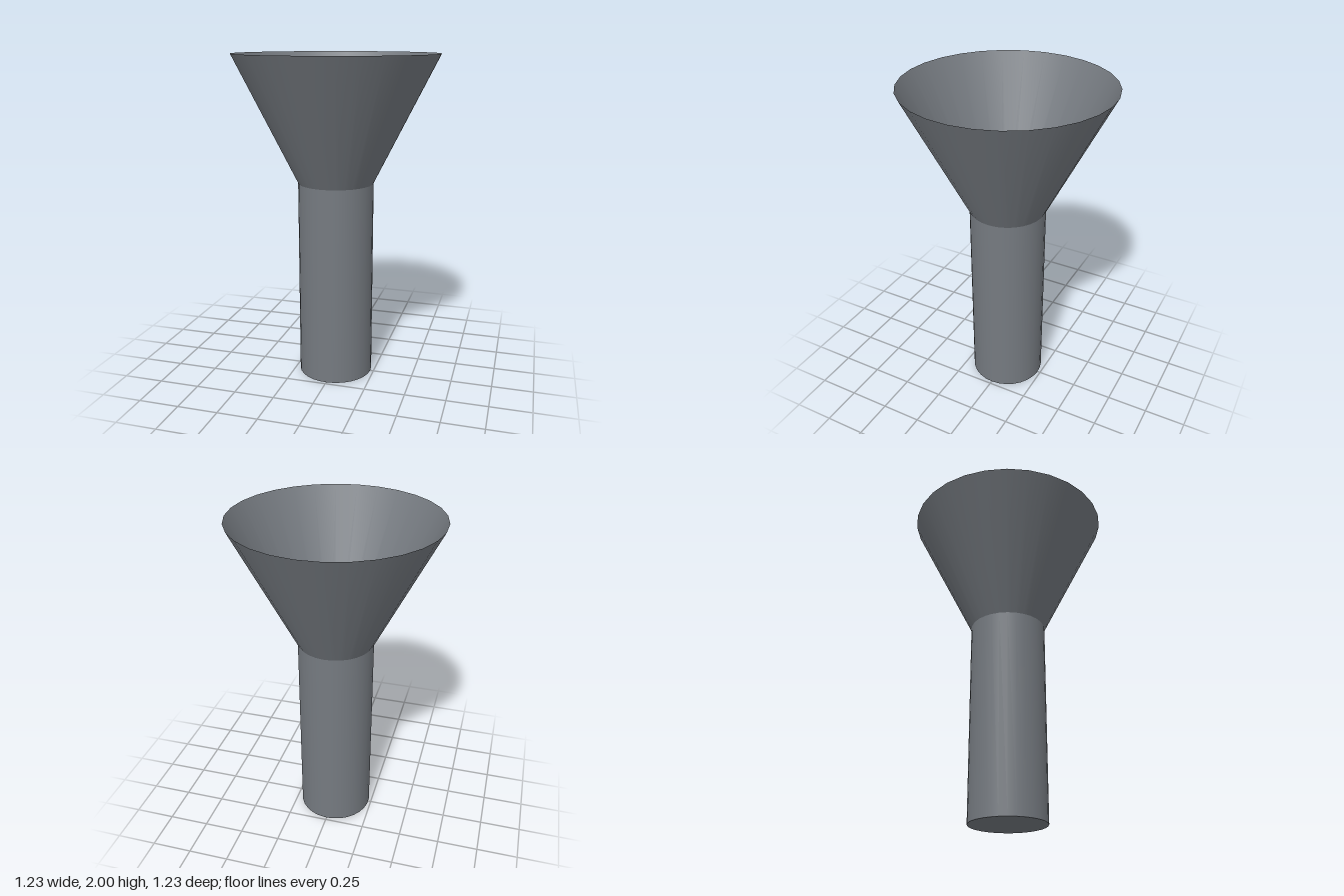
import * as THREE from 'three';

const SIDES = 29;
const UNIT = 2 / 13;

export function createModel() {
  const group = new THREE.Group();
  const material = new THREE.MeshStandardMaterial({ color: 0x757a80, side: THREE.DoubleSide });
  // an odd number of sides needs a small shift to centre the bounds
  const shift = -2 * UNIT * (1 - Math.cos(Math.PI / SIDES));

  // revolve one straight run of the profile, so that edges between runs stay sharp
  function revolve(name, from, to) {
    const points = [from, to].map(([r, y]) => new THREE.Vector2(r * UNIT, y * UNIT));
    const geometry = new THREE.LatheGeometry(points, SIDES);
    geometry.rotateY(Math.PI / 2).translate(shift, 0, 0);
    const mesh = new THREE.Mesh(geometry, material);
    mesh.name = name;
    group.add(mesh);
  }

  // hollow stem, closed at the bottom
  revolve('stemBase', [0, 0], [1.5, 0]);
  revolve('stem', [1.5, 0], [1.5, 8]);
  revolve('stemBore', [1, 7], [1, 0]);

  // thin flared cup that runs on down into the stem
  revolve('cup', [1, 7], [4, 13]);

  return group;
}
